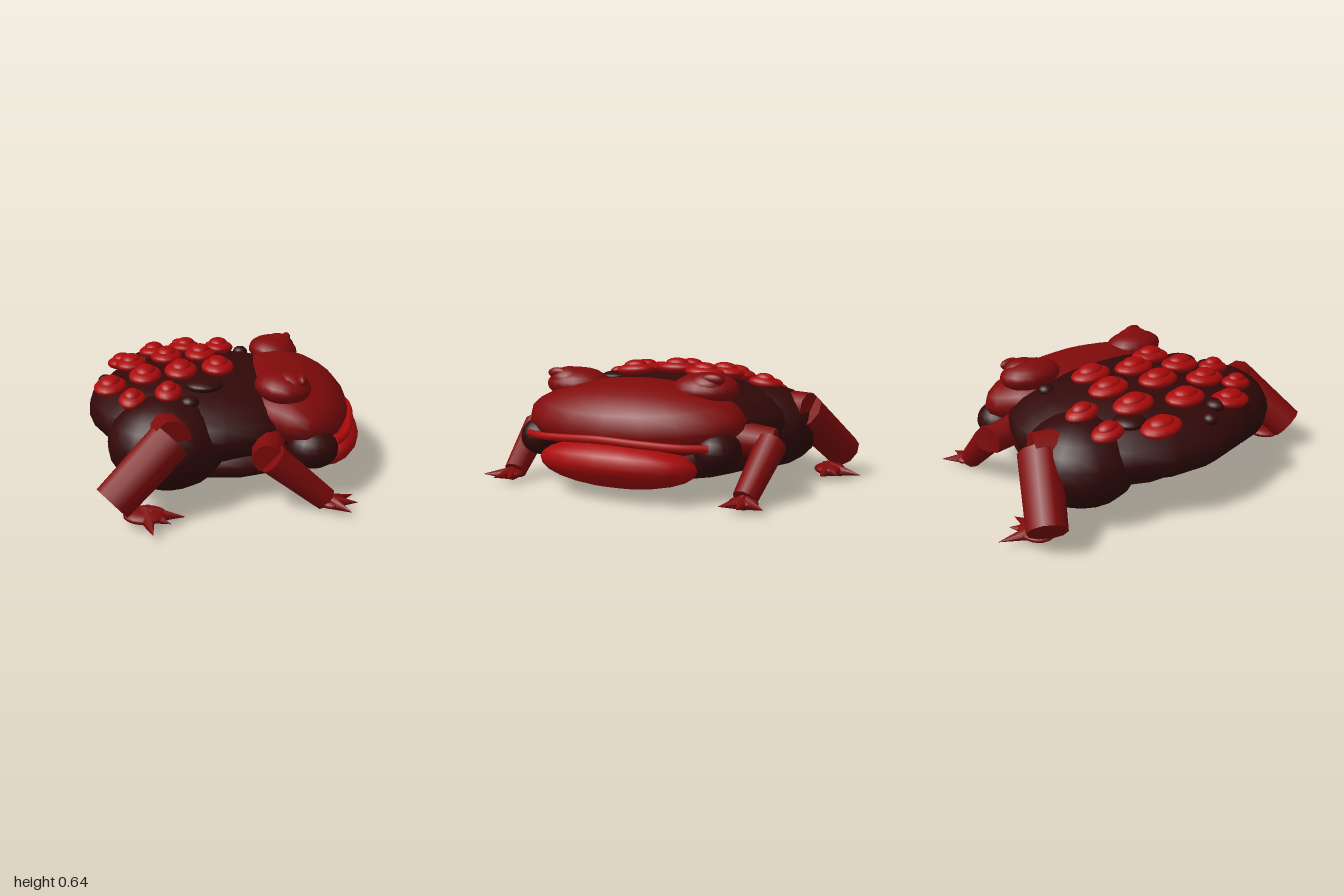
import * as THREE from 'three';

const mat = (name, color) => {
  const m = new THREE.MeshStandardMaterial({ color });
  m.name = name;
  return m;
};

export function createModel() {
  const root = new THREE.Group();
  root.name = 'toad';
  const skin = mat('dark skin', 0x320808);
  const belly = mat('belly', 0x3c0808);
  const red = mat('red skin', 0x800a0a);
  const bright = mat('wart red', 0xab0a0a);

  const ball = (name, m, p, r, tilt = 0, parent = root) => {
    const mesh = new THREE.Mesh(new THREE.SphereGeometry(1, 18, 12), m);
    mesh.name = name;
    mesh.position.set(...p);
    mesh.scale.set(...r);
    mesh.rotation.z = tilt;
    parent.add(mesh);
  };
  // Tapered cylinder from point a to point b
  const limb = (name, m, a, b, ra, rb, sides = 10) => {
    const from = new THREE.Vector3(...a), to = new THREE.Vector3(...b);
    const dir = to.clone().sub(from);
    const mesh = new THREE.Mesh(new THREE.CylinderGeometry(rb, ra, dir.length(), sides), m);
    mesh.name = name;
    mesh.position.copy(from).add(to).multiplyScalar(0.5);
    mesh.quaternion.setFromUnitVectors(new THREE.Vector3(0, 1, 0), dir.normalize());
    root.add(mesh);
  };

  // Trunk, head and throat
  const bodyC = [-0.1, 0.32, 0], bodyR = [0.63, 0.235, 0.675];
  ball('body', skin, bodyC, bodyR);
  ball('belly', belly, [0.0, 0.17, 0], [0.54, 0.157, 0.6]);
  ball('head', red, [0.35, 0.365, 0], [0.31, 0.185, 0.6], -0.2);
  ball('throat', bright, [0.52, 0.155, 0], [0.207, 0.118, 0.43], 0.2);

  // Mouth line
  const lip = new THREE.CatmullRomCurve3([
    [0.535, 0.27, 0.5], [0.605, 0.275, 0.38], [0.65, 0.285, 0.2], [0.672, 0.295, 0],
    [0.65, 0.285, -0.2], [0.605, 0.275, -0.38], [0.535, 0.27, -0.5],
  ].map((p) => new THREE.Vector3(...p)));
  const mouth = new THREE.Mesh(new THREE.TubeGeometry(lip, 28, 0.019, 8), bright);
  mouth.name = 'mouth';
  root.add(mouth);

  for (const s of [1, -1]) {
    const side = s > 0 ? 'left' : 'right';
    const p = (x, y, z) => [x, y, z * s];

    // Cheek and eye
    ball(side + 'Cheek', skin, p(0.425, 0.242, 0.5), [0.125, 0.1, 0.11]);
    ball(side + 'EyeMound', red, p(0.285, 0.515, 0.37), [0.14, 0.08, 0.17], -0.1);
    ball(side + 'Eyeball', red, p(0.325, 0.54, 0.4), [0.085, 0.06, 0.1], -0.2);
    ball(side + 'Pupil', red, p(0.367, 0.568, 0.44), [0.024, 0.03, 0.06], -0.3);

    // Hind leg
    ball(side + 'Haunch', skin, p(-0.275, 0.27, 0.485), [0.292, 0.225, 0.285]);
    limb(side + 'Thigh', red, p(-0.32, 0.37, 0.5), p(-0.235, 0.375, 0.74), 0.1, 0.09);
    limb(side + 'Shin', red, p(-0.245, 0.36, 0.705), p(-0.5, 0.12, 0.86), 0.105, 0.095);
    ball(side + 'HindFoot', red, p(-0.36, 0.045, 0.82), [0.1, 0.03, 0.08]);
    for (const [x, z] of [[-0.31, 0.995], [-0.24, 0.89], [-0.18, 0.82]]) {
      limb(side + 'HindToe', red, p(-0.36, 0.045, 0.81), p(x, 0.035, z), 0.045, 0.001, 7);
    }

    // Front leg
    limb(side + 'UpperArm', red, p(0.215, 0.285, 0.45), p(0.195, 0.262, 0.695), 0.085, 0.072);
    limb(side + 'Forearm', red, p(0.22, 0.262, 0.688), p(0.475, 0.045, 0.655), 0.076, 0.058);
    ball(side + 'FrontFoot', red, p(0.5, 0.035, 0.66), [0.055, 0.025, 0.07]);
    for (const [x, z] of [[0.58, 0.78], [0.625, 0.675], [0.615, 0.585]]) {
      limb(side + 'FrontToe', red, p(0.49, 0.035, 0.66), p(x, 0.035, z), 0.038, 0.001, 7);
    }
  }

  // Height of the back at a given spot
  const backY = (x, z) => bodyC[1] + bodyR[1] * Math.sqrt(
    Math.max(0.1, 1 - ((x - bodyC[0]) / bodyR[0]) ** 2 - (z / bodyR[2]) ** 2));

  // Warts with a raised crown
  const warts = [
    [-0.445, -0.46, 0.8], [-0.27, -0.47, 0.8], [-0.58, -0.25, 1], [-0.4, -0.26, 1],
    [-0.22, -0.26, 1], [-0.035, -0.22, 1], [-0.5, -0.01, 1], [-0.31, -0.01, 1],
    [-0.13, -0.01, 1], [-0.58, 0.235, 1], [-0.4, 0.24, 1], [-0.22, 0.24, 1],
    [-0.035, 0.2, 1], [-0.445, 0.44, 0.8], [-0.27, 0.45, 0.8],
  ];
  for (const [x, z, k] of warts) {
    const g = new THREE.Group();
    g.name = 'wart';
    g.position.set(x, backY(x, z) + 0.025, z);
    g.rotation.set(z * 0.3, 0, -(x + 0.15) * 0.1);
    ball('wartBase', bright, [0, 0, 0], [0.083 * k, 0.036, 0.112 * k], 0, g);
    ball('wartCrown', bright, [0, 0.024, 0], [0.052 * k, 0.03, 0.068 * k], 0, g);
    root.add(g);
  }

  // Small dark bumps
  for (const [x, z, r] of [[0.095, -0.41, 0.042], [-0.16, -0.14, 0.045], [-0.635, 0.03, 0.04],
    [-0.57, 0.14, 0.055], [-0.165, 0.505, 0.045], [-0.45, -0.33, 0.08], [-0.1, 0.36, 0.095]]) {
    ball('bump', skin, [x, backY(x, z), z], [r, 0.032, r]);
  }
  return root;
}
